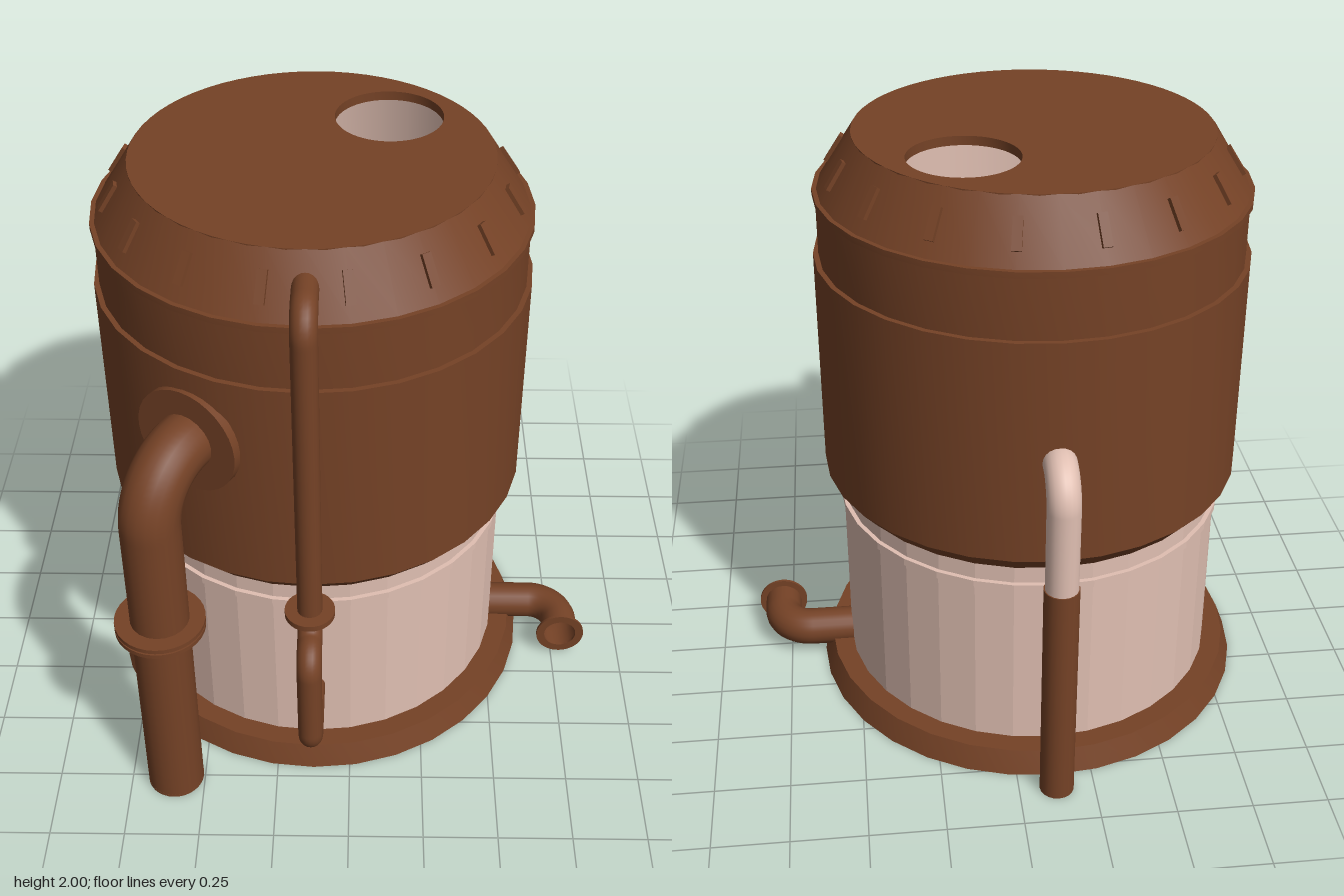
import * as THREE from 'three';
import { toCreasedNormals } from 'three/addons/utils/BufferGeometryUtils.js';

const CX = -0.125, CZ = -0.04; // tank axis
const SEGS = 32;

const brown = new THREE.MeshStandardMaterial({ color: 0x754226 });
brown.name = 'rust brown';
const pale = new THREE.MeshStandardMaterial({ color: 0xe0bfb2 });
pale.name = 'pale metal';
const brownOpen = new THREE.MeshStandardMaterial({ color: 0x754226, side: THREE.DoubleSide });
brownOpen.name = 'rust brown';

const V = (x, y, z) => new THREE.Vector3(x, y, z);

function add(parent, name, geometry, material, x = 0, y = 0, z = 0) {
  const mesh = new THREE.Mesh(geometry, material);
  mesh.name = name;
  mesh.position.set(x, y, z);
  parent.add(mesh);
  return mesh;
}

// Turned shape with hard edges; profile is [radius, y] pairs
function turned(profile, crease) {
  const pts = profile.map(([r, y]) => new THREE.Vector2(r, y));
  return toCreasedNormals(new THREE.LatheGeometry(pts, SEGS), crease);
}

// Pipe through corner points, each inner corner rounded by the bend length
function pipe(points, radius, bend) {
  const path = new THREE.CurvePath();
  let from = points[0];
  for (let i = 1; i < points.length - 1; i++) {
    const p = points[i];
    const a = p.clone().add(points[i - 1].clone().sub(p).setLength(bend));
    const b = p.clone().add(points[i + 1].clone().sub(p).setLength(bend));
    const k = 0.55;
    if (from.distanceTo(a) > 1e-4) path.add(new THREE.LineCurve3(from, a));
    path.add(new THREE.CubicBezierCurve3(a, a.clone().lerp(p, k), b.clone().lerp(p, k), b));
    from = b;
  }
  path.add(new THREE.LineCurve3(from, points[points.length - 1]));
  return new THREE.TubeGeometry(path, 90, radius, 20);
}

const disc = (r, h) => new THREE.CylinderGeometry(r, r, h, 32);

export function createModel() {
  const model = new THREE.Group();
  model.name = 'storageTank';

  const tank = new THREE.Group();
  tank.name = 'tank';
  tank.position.set(CX, 0, CZ);
  model.add(tank);

  // Foot and faceted lower drum
  add(tank, 'basePlate', turned([[0, 0], [0.75, 0], [0.72, 0.08], [0, 0.08]], 0.5), brown);
  add(tank, 'lowerDrum', turned([
    [0.65, 0.08], [0.65, 0.69], [0.66, 0.69], [0.66, 0.715], [0.645, 0.715], [0.645, 0.79],
  ], 0.05), pale);

  // Upper drum with chamfered bottom, step, lip and sloping shoulder
  add(tank, 'upperDrum', turned([
    [0.55, 0.78], [0.655, 0.78], [0.707, 0.84], [0.707, 1.6], [0.69, 1.6], [0.69, 1.8],
    [0.7, 1.8], [0.7, 1.82], [0.685, 1.82], [0.57, 2.0],
  ], 0.45), brown);
  add(tank, 'innerLiner', turned([[0.55, 1.97], [0.55, 0.08]], 0.5), pale);

  // Lid with round hatch opening
  const lidShape = new THREE.Shape().absarc(0, 0, 0.57, 0, Math.PI * 2, false);
  lidShape.holes.push(new THREE.Path().absarc(0.24, 0.245, 0.175, 0, Math.PI * 2, true));
  const lidGeometry = new THREE.ExtrudeGeometry(lidShape, {
    depth: 0.03, bevelEnabled: false, curveSegments: SEGS,
  });
  lidGeometry.rotateX(-Math.PI / 2);
  add(tank, 'lid', toCreasedNormals(lidGeometry, 0.5), brown, 0, 1.97, 0);

  // Ribs around the shoulder
  const slope = Math.atan2(0.115, 0.18);
  for (let i = 0; i < 16; i++) {
    const turn = new THREE.Group();
    turn.name = 'shoulderRib';
    turn.rotation.y = ((i + 0.5) / 16) * Math.PI * 2;
    const rib = add(turn, 'rib', new THREE.BoxGeometry(0.03, 0.1, 0.025), brown, 0, 1.905, 0.63);
    rib.rotation.x = -slope;
    tank.add(turn);
  }

  // Large front pipe, bending into the upper drum
  const large = new THREE.Group();
  large.name = 'largePipe';
  model.add(large);
  const px = -0.6, pz = 0.75;
  const inward = V(CX - px, 0, CZ - pz).normalize();
  const wall = V(CX, 1.35, CZ).addScaledVector(inward, -0.705);
  add(large, 'pipe', pipe([
    V(px, 0, pz), V(px, 1.35, pz), wall.clone().addScaledVector(inward, 0.06),
  ], 0.095, 0.19), brown);
  add(large, 'pipeFoot', disc(0.095, 0.01), brown, px, 0.005, pz);
  for (const y of [0.743, 0.764]) add(large, 'coupling', disc(0.145, 0.015), brown, px, y, pz);
  add(large, 'couplingGasket', disc(0.135, 0.02), brown, px, 0.753, pz);
  const plate = add(large, 'wallFlange', disc(0.18, 0.03), brown, wall.x, wall.y, wall.z);
  plate.quaternion.setFromUnitVectors(V(0, 1, 0), inward);

  // Thin front pipe running from shoulder to lower drum
  const thin = new THREE.Group();
  thin.name = 'thinPipe';
  model.add(thin);
  add(thin, 'upperRun', pipe([V(CX, 1.905, 0.56), V(CX, 1.905, 0.73), V(CX, 0.77, 0.73)], 0.04, 0.08), brown);
  add(thin, 'lowerRun', pipe([
    V(CX, 0.79, 0.73), V(CX, 0.7, 0.73), V(CX, 0.7, 0.865), V(CX, 0.31, 0.865), V(CX, 0.31, 0.59),
  ], 0.04, 0.065), brown);
  add(thin, 'coupling', disc(0.08, 0.02), brown, CX, 0.785, 0.73);

  // Back pipe: brown standpipe with pale elbow
  const back = new THREE.Group();
  back.name = 'backPipe';
  model.add(back);
  add(back, 'standpipe', new THREE.CylinderGeometry(0.057, 0.057, 0.81, 20), brown, CX, 0.405, -0.845);
  add(back, 'elbow', pipe([V(CX, 0.8, -0.845), V(CX, 1.197, -0.845), V(CX, 1.197, -0.72)], 0.053, 0.1), pale);

  // Side drain with open flanged mouth
  const drain = new THREE.Group();
  drain.name = 'sideDrain';
  model.add(drain);
  add(drain, 'drainPipe', pipe([V(0.5, 0.097, -0.03), V(0.778, 0.097, -0.03), V(0.778, 0.097, 0.145)], 0.065, 0.11), brownOpen);
  const rim = new THREE.Shape().absarc(0, 0, 0.087, 0, Math.PI * 2, false);
  rim.holes.push(new THREE.Path().absarc(0, 0, 0.058, 0, Math.PI * 2, true));
  const rimGeometry = new THREE.ExtrudeGeometry(rim, { depth: 0.01, bevelEnabled: false, curveSegments: 24 });
  add(drain, 'drainFlange', toCreasedNormals(rimGeometry, 0.5), brown, 0.778, 0.097, 0.14);

  return model;
}
